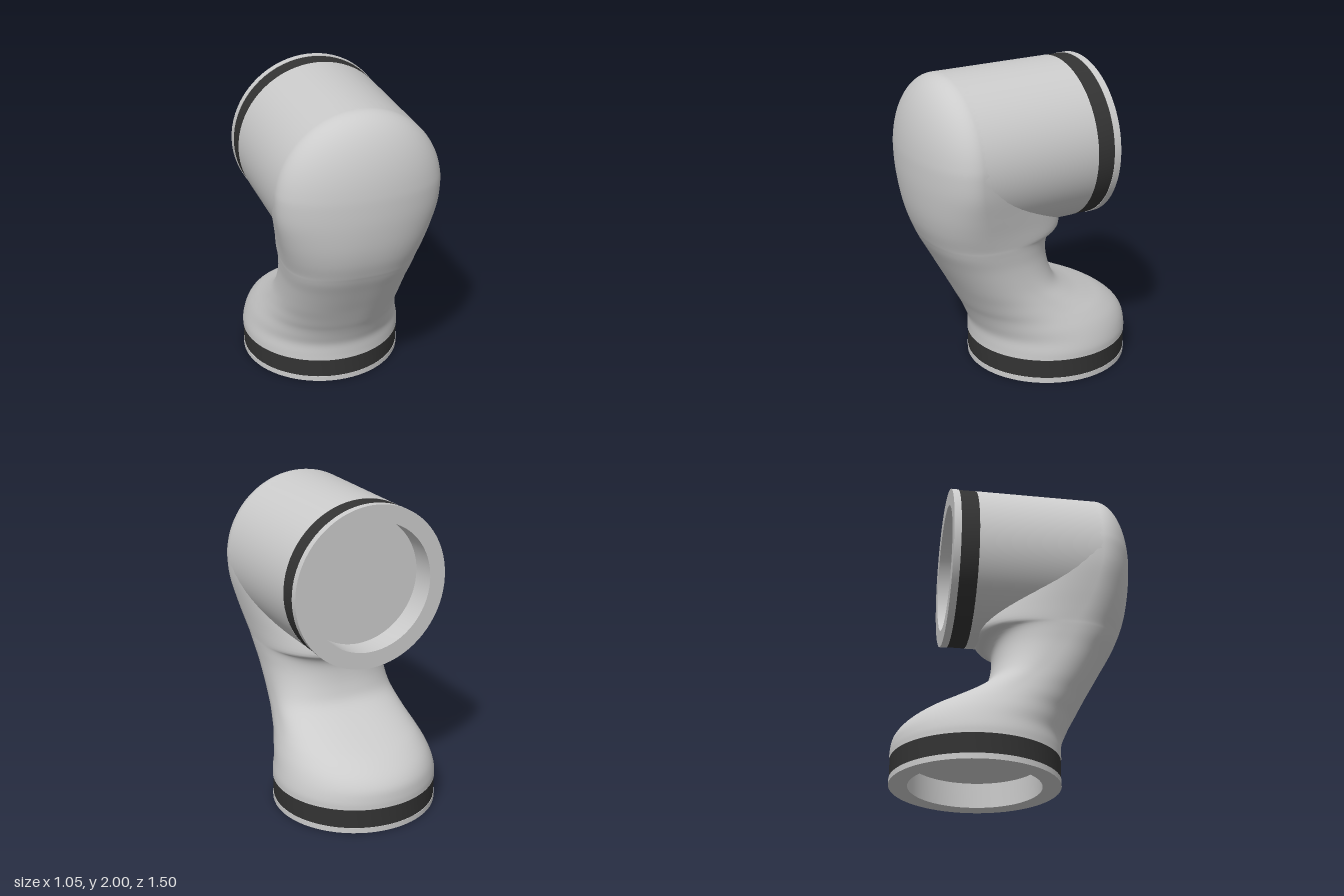
import * as THREE from 'three';
import { toCreasedNormals } from 'three/addons/utils/BufferGeometryUtils.js';

const grey = new THREE.MeshStandardMaterial({ color: 0xcccccc });
const dark = new THREE.MeshStandardMaterial({ color: 0x333333 });

function lathe(name, profile, material) {
  const points = profile.map(([r, y]) => new THREE.Vector2(r, y));
  const mesh = new THREE.Mesh(toCreasedNormals(new THREE.LatheGeometry(points, 72), 0.5), material);
  mesh.name = name;
  return mesh;
}

// Round joint end: recessed socket, lip, dark band and housing, opening at y = 0
function jointEnd(name, r, lip, band, length) {
  const group = new THREE.Group();
  group.name = name;
  group.add(
    lathe(name + 'Socket', [[0, 0.16], [0.41, 0.16], [0.41, 0], [r, 0], [r, lip], [r - 0.003, lip]], grey),
    lathe(name + 'Band', [[r - 0.003, lip], [r - 0.003, band]], dark),
    lathe(name + 'Housing', [[r - 0.003, band], [r - 0.002, band], [r - 0.002, length]], grey)
  );
  return group;
}

// Horizontal sections: y, front z, back z, z of widest point, half width, roundness exponent
const sections = [
  [0.16, 0.298, -0.752, -0.227, 0.525, 2],
  [0.21, 0.298, -0.75, -0.227, 0.523, 2],
  [0.28, 0.302, -0.735, -0.215, 0.508, 2],
  [0.35, 0.328, -0.68, -0.18, 0.488, 2.05],
  [0.42, 0.36, -0.58, -0.13, 0.462, 2.1],
  [0.48, 0.392, -0.45, -0.07, 0.44, 2.2],
  [0.55, 0.428, -0.305, 0, 0.42, 2.3],
  [0.63, 0.47, -0.19, 0.09, 0.405, 2.4],
  [0.72, 0.52, -0.147, 0.17, 0.4, 2.4],
  [0.82, 0.575, -0.127, 0.24, 0.402, 2.4],
  [0.9, 0.62, -0.13, 0.29, 0.411, 2.4],
  [0.95, 0.645, -0.165, 0.32, 0.418, 2.35],
  [0.985, 0.661, -0.24, 0.34, 0.423, 2.3],
  [1.08, 0.698, -0.24, 0.4, 0.443, 2.2],
  [1.2, 0.728, -0.2, 0.45, 0.472, 2.1],
  [1.35, 0.748, -0.15, 0.49, 0.505, 2]
];
// Upper sections follow the dome of the head
for (let deg = 0; deg <= 90; deg += 9) {
  const a = THREE.MathUtils.degToRad(deg);
  const c = Math.max(Math.cos(a), 0.001);
  sections.push([1.485 + 0.515 * Math.sin(a), 0.5 + 0.253 * c, -0.15, 0.5, 0.515 * c, 2]);
}

function bodyGeometry() {
  const curve = (i) => new THREE.CatmullRomCurve3(
    sections.map((s) => new THREE.Vector3(s[i], s[i + 1], s[i + 2])), false, 'catmullrom', 0.5);
  const depths = curve(0), widths = curve(3);
  const rows = (sections.length - 1) * 4, sides = 96;
  const positions = [], index = [];
  const power = (v, n) => Math.sign(v) * Math.abs(v) ** (2 / n);
  for (let j = 0; j <= rows; j++) {
    const { x: y, y: front, z: back } = depths.getPoint(j / rows);
    const { x: mid, y: half, z: n } = widths.getPoint(j / rows);
    for (let i = 0; i < sides; i++) {
      const t = (i / sides) * Math.PI * 2;
      const c = power(Math.cos(t), n);
      positions.push(half * power(Math.sin(t), n), y, mid + c * (c > 0 ? front - mid : mid - back));
      if (j === rows) continue;
      const a = j * sides + i, b = j * sides + (i + 1) % sides;
      index.push(a, b, a + sides, b, b + sides, a + sides);
    }
  }
  const geometry = new THREE.BufferGeometry();
  geometry.setAttribute('position', new THREE.Float32BufferAttribute(positions, 3));
  geometry.setIndex(index);
  geometry.computeVertexNormals();
  return geometry;
}

export function createModel() {
  const model = new THREE.Group();
  model.name = 'elbowLink';

  // Curved shell between the two joints
  const body = new THREE.Mesh(bodyGeometry(), grey);
  body.name = 'elbowBody';

  // Lower joint opens downward
  const lower = jointEnd('lowerJoint', 0.525, 0.035, 0.16, 0.19);
  lower.position.z = -0.227;

  // Upper joint opens to the back
  const upper = jointEnd('upperJoint', 0.517, 0.045, 0.16, 0.94);
  upper.rotation.x = Math.PI / 2;
  upper.position.set(0, 1.485, -0.445);

  model.add(body, lower, upper);
  return model;
}
